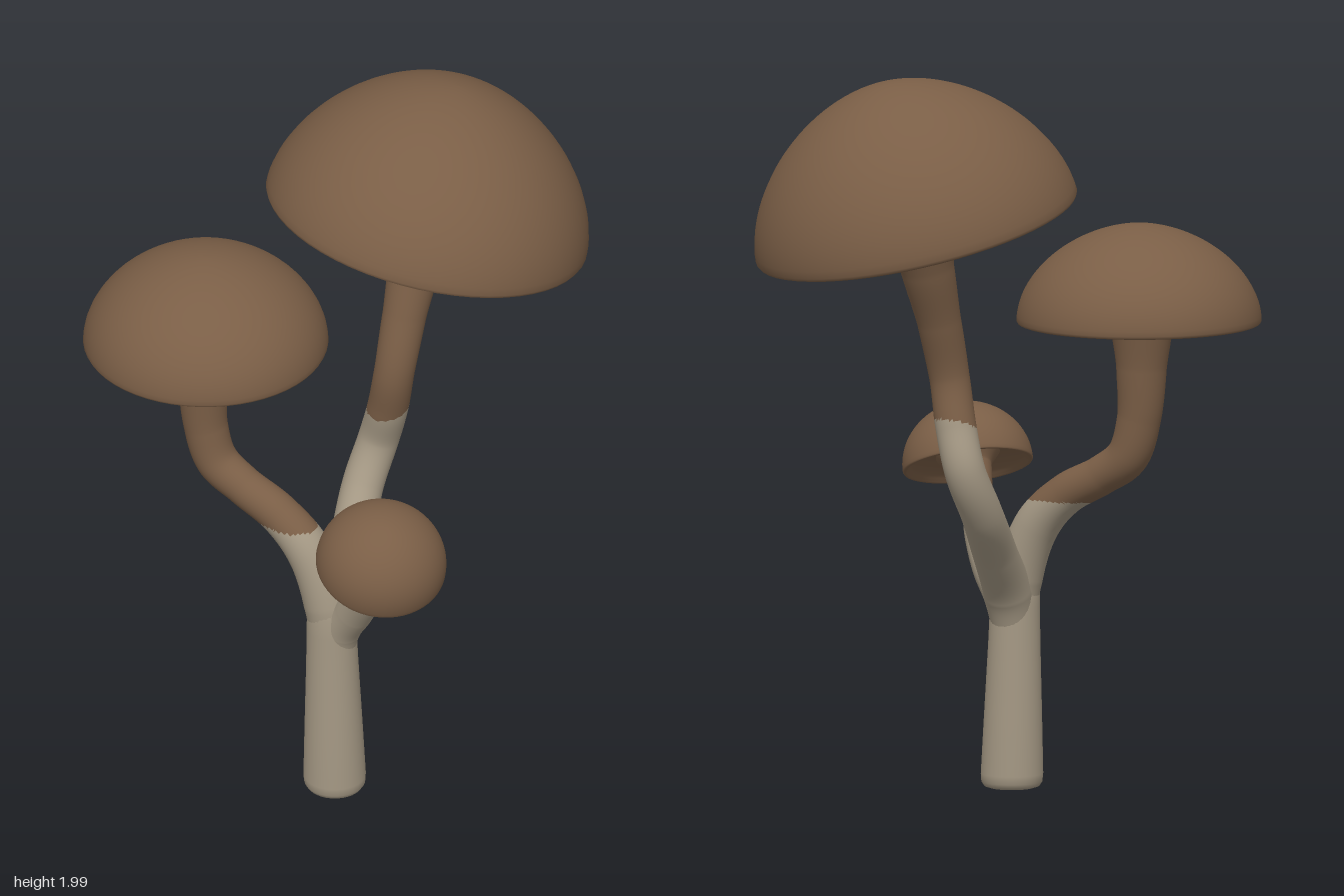
import * as THREE from 'three';

const cream = new THREE.MeshStandardMaterial({ color: 0xa39783 });
cream.name = 'pale stem';
const brown = new THREE.MeshStandardMaterial({ color: 0x7a5e46 });
brown.name = 'brown cap';

const V = (x, y, z) => new THREE.Vector3(x, y, z);

function part(name, geometry, material) {
  const mesh = new THREE.Mesh(geometry, material);
  mesh.name = name;
  return mesh;
}

// Curved stem with a radius per path point [x, y, z, r];
// pale below the plane through splitAt with normal splitDir, brown above
function stem(name, path, splitAt, splitDir) {
  const SEG = 180, RAD = 32;
  const curve = new THREE.CatmullRomCurve3(path.map(p => V(p[0], p[1], p[2])));
  const geo = new THREE.TubeGeometry(curve, SEG, 1, RAD);
  const pos = geo.attributes.position;
  const v = V(0, 0, 0);
  for (let j = 0; j <= SEG; j++) {
    const c = curve.getPointAt(j / SEG);
    const t = curve.getUtoTmapping(j / SEG) * (path.length - 1);
    const k = Math.min(Math.floor(t), path.length - 2);
    const r = THREE.MathUtils.lerp(path[k][3], path[k + 1][3], THREE.MathUtils.smoothstep(t - k, 0, 1) * 0.3 + (t - k) * 0.7);
    for (let i = 0; i <= RAD; i++) {
      const n = j * (RAD + 1) + i;
      v.fromBufferAttribute(pos, n).sub(c).multiplyScalar(r).add(c);
      pos.setXYZ(n, v.x, v.y, v.z);
    }
  }
  geo.computeVertexNormals();
  // join the normals along the seam
  const nor = geo.attributes.normal, a = V(0, 0, 0), b = V(0, 0, 0);
  for (let j = 0; j <= SEG; j++) {
    const n = j * (RAD + 1), m = n + RAD;
    a.fromBufferAttribute(nor, n).add(b.fromBufferAttribute(nor, m)).normalize();
    nor.setXYZ(n, a.x, a.y, a.z);
    nor.setXYZ(m, a.x, a.y, a.z);
  }
  // sort the faces into the two colours
  const index = geo.index.array, lower = [], upper = [];
  for (let f = 0; f < index.length; f += 3) {
    const face = [index[f], index[f + 1], index[f + 2]];
    v.set(0, 0, 0);
    face.forEach(n => v.add(a.fromBufferAttribute(pos, n)));
    v.divideScalar(3).sub(splitAt);
    (v.dot(splitDir) < 0 ? lower : upper).push(...face);
  }
  geo.setIndex([...lower, ...upper]);
  geo.clearGroups();
  geo.addGroup(0, lower.length, 0);
  geo.addGroup(lower.length, upper.length, 1);
  return part(name, geo, [cream, brown]);
}

// Domed cap with a hollow underside, set on its rim centre and tilted along axis;
// a larger bulge makes a rounder dome
function cap(name, centre, axis, radius, height, bulge) {
  const under = new THREE.SplineCurve([[0, 0.21], [0.4, 0.2], [0.65, 0.155], [0.82, 0.085], [0.91, 0.02], [0.955, -0.012], [0.99, -0.004]]
    .map(p => new THREE.Vector2(...p)))
    .getPoints(28).map(p => new THREE.Vector2(Math.max(0, p.x * radius), p.y * radius));
  const dome = [];
  for (let i = 0; i <= 32; i++) {
    const h = i === 32 ? 1 : Math.sin(i / 32 * Math.PI / 2);
    dome.push(new THREE.Vector2(radius * (1 - h ** bulge) ** 0.55, 0.015 * radius + h * (height - 0.015 * radius)));
  }
  const mesh = part(name, new THREE.LatheGeometry([...under, ...dome], 56), brown);
  mesh.position.copy(centre);
  mesh.quaternion.setFromUnitVectors(V(0, 1, 0), axis.normalize());
  return mesh;
}

// Trunk: rounded foot, tapering and leaning slightly as it rises to the fork
function trunk() {
  const profile = [[0, 0], [0.06, 0.001], [0.075, 0.006], [0.083, 0.018], [0.085, 0.04], [0.079, 0.2],
    [0.071, 0.4], [0.068, 0.5], [0.066, 0.56], [0.055, 0.605], [0.035, 0.63], [0, 0.64]].map(p => new THREE.Vector2(...p));
  const geo = new THREE.LatheGeometry(profile, 32);
  const pos = geo.attributes.position;
  for (let i = 0; i < pos.count; i++) {
    pos.setX(i, pos.getX(i) + 0.125 - 0.027 * pos.getY(i));
    pos.setZ(i, pos.getZ(i) + 0.277 - 0.012 * pos.getY(i));
  }
  return part('trunk', geo, cream);
}

export function createModel() {
  const group = new THREE.Group();
  group.name = 'mushroomCluster';
  group.add(
    trunk(),
    stem('largeStem', [
      [0.113, 0.42, 0.27, 0.055], [0.112, 0.54, 0.235, 0.067], [0.09, 0.66, 0.13, 0.061],
      [0.057, 0.79, 0.0, 0.057], [0.07, 0.91, -0.065, 0.056], [0.105, 1.03, -0.055, 0.056],
      [0.132, 1.16, -0.043, 0.055], [0.14, 1.32, -0.085, 0.06], [0.145, 1.47, -0.138, 0.073],
      [0.153, 1.58, -0.168, 0.096], [0.163, 1.64, -0.18, 0.13], [0.17, 1.685, -0.188, 0.21]],
      V(0.1, 1.035, -0.055), V(0, 1, 0.4)),
    stem('mediumStem', [
      [0.113, 0.42, 0.27, 0.055], [0.1, 0.58, 0.272, 0.066], [0.04, 0.73, 0.272, 0.062],
      [-0.05, 0.818, 0.272, 0.056], [-0.16, 0.877, 0.274, 0.054], [-0.24, 0.935, 0.277, 0.058],
      [-0.274, 1.04, 0.28, 0.06], [-0.282, 1.18, 0.28, 0.069], [-0.283, 1.3, 0.278, 0.087],
      [-0.28, 1.345, 0.276, 0.115], [-0.277, 1.378, 0.275, 0.18]],
      V(-0.04, 0.8, 0.272), V(0, 1, 0)),
    stem('smallStem', [
      [0.118, 0.4, 0.268, 0.05], [0.14, 0.51, 0.272, 0.056], [0.192, 0.59, 0.288, 0.053],
      [0.24, 0.665, 0.315, 0.046], [0.267, 0.735, 0.338, 0.043], [0.289, 0.795, 0.363, 0.046],
      [0.322, 0.85, 0.395, 0.056], [0.342, 0.885, 0.413, 0.09]],
      V(0.268, 0.77, 0.345), V(0.15, 1, 0.55)),
    cap('largeCap', V(0.16, 1.585, -0.17), V(0.14, 1, -0.21), 0.447, 0.412, 1.7),
    cap('mediumCap', V(-0.277, 1.305, 0.275), V(0, 1, 0), 0.333, 0.27, 1.87),
    cap('smallCap', V(0.339, 0.852, 0.406), V(0.32, 1, 0.3), 0.178, 0.177, 2.1),
  );
  return group;
}
